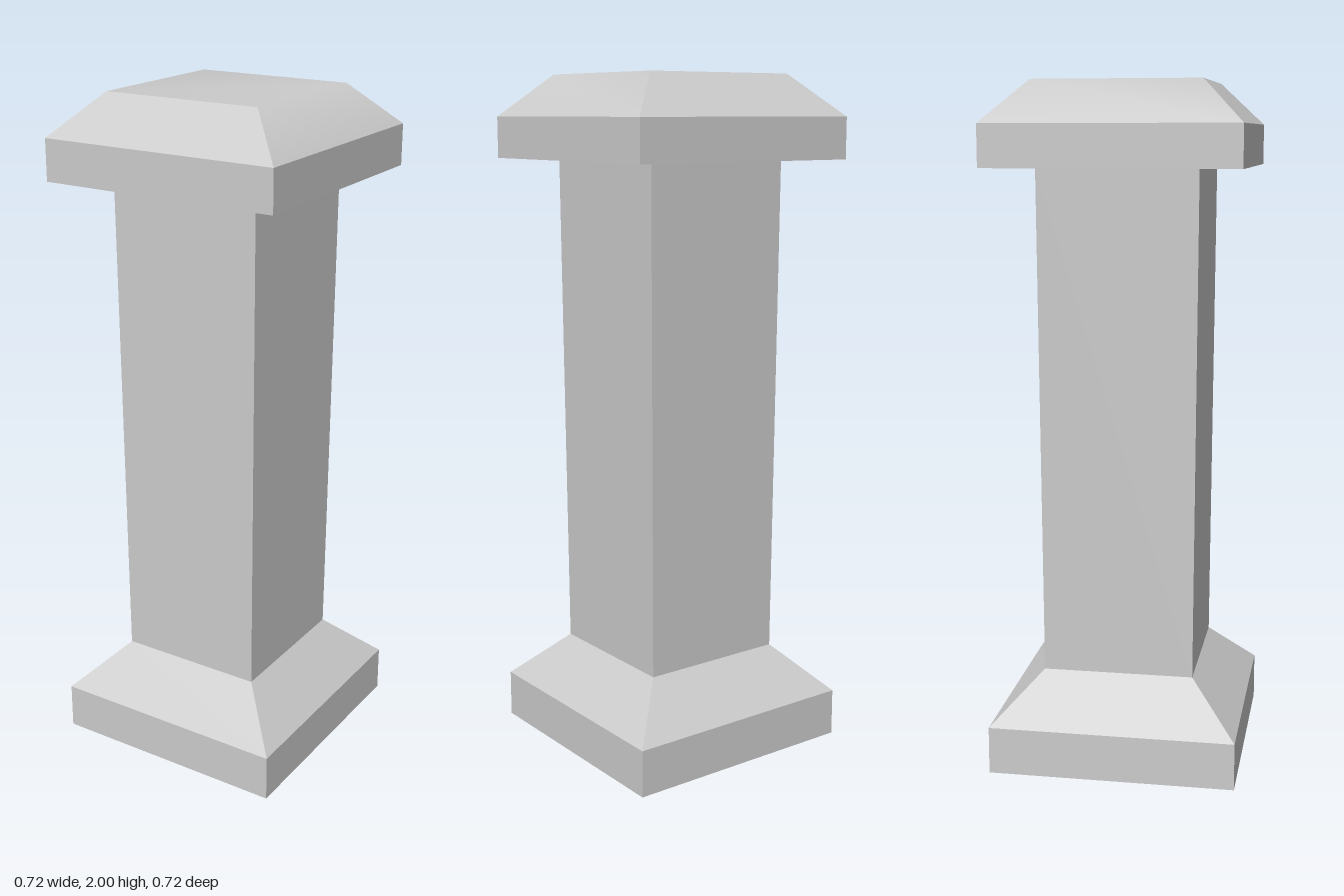
import * as THREE from 'three';

const WIDE = 0.362; // half width of plinth and cap
const TOP = 0.24; // half width of the flat top
const material = new THREE.MeshStandardMaterial({ color: 0xcccccc, side: THREE.DoubleSide });

// Open square shell swept through [halfWidth, y] levels, with flat faces
function squareShell(name, levels) {
  const points = levels.map(([half, y]) => new THREE.Vector2(half * Math.SQRT2, y));
  const geometry = new THREE.LatheGeometry(points, 4, Math.PI / 4).toNonIndexed();
  geometry.computeVertexNormals();
  const mesh = new THREE.Mesh(geometry, material);
  mesh.name = name;
  return mesh;
}

// Surface strip between front and back edge points; shared points shade smoothly
function strip(name, front, back) {
  const geometry = new THREE.BufferGeometry();
  const n = front.length;
  const index = [];
  for (let i = 0; i < n - 1; i++) {
    index.push(i, i + 1, n + i + 1, i, n + i + 1, n + i);
  }
  geometry.setAttribute('position', new THREE.Float32BufferAttribute([...front, ...back].flat(), 3));
  geometry.setIndex(index);
  geometry.computeVertexNormals();
  const mesh = new THREE.Mesh(geometry, material);
  mesh.name = name;
  return mesh;
}

export function createModel() {
  const group = new THREE.Group();
  group.name = 'pedestal';

  // Hollow body, open underneath
  group.add(squareShell('plinth', [[WIDE, 0], [WIDE, 0.14], [0.222, 0.28]]));
  group.add(squareShell('shaft', [[0.222, 0.28], [0.231, 1.76]]));
  group.add(squareShell('capBand', [[0.231, 1.76], [WIDE, 1.76], [WIDE, 1.88]]));

  // Cap roof: left slope, top and right slope form one smooth strip
  const profile = [[-WIDE, 1.88], [-TOP, 2], [TOP, 2], [WIDE, 1.88]];
  const edge = (side) => profile.map(([x, y]) => [x, y, side * Math.abs(x)]);
  group.add(strip('capTop', edge(1), edge(-1)));

  // Flat front and back slopes
  for (const [name, turn] of [['capFrontSlope', 0], ['capBackSlope', Math.PI]]) {
    const slope = strip(name,
      [[-WIDE, 1.88, WIDE], [WIDE, 1.88, WIDE]],
      [[-TOP, 2, TOP], [TOP, 2, TOP]]);
    slope.rotation.y = turn;
    group.add(slope);
  }
  return group;
}
